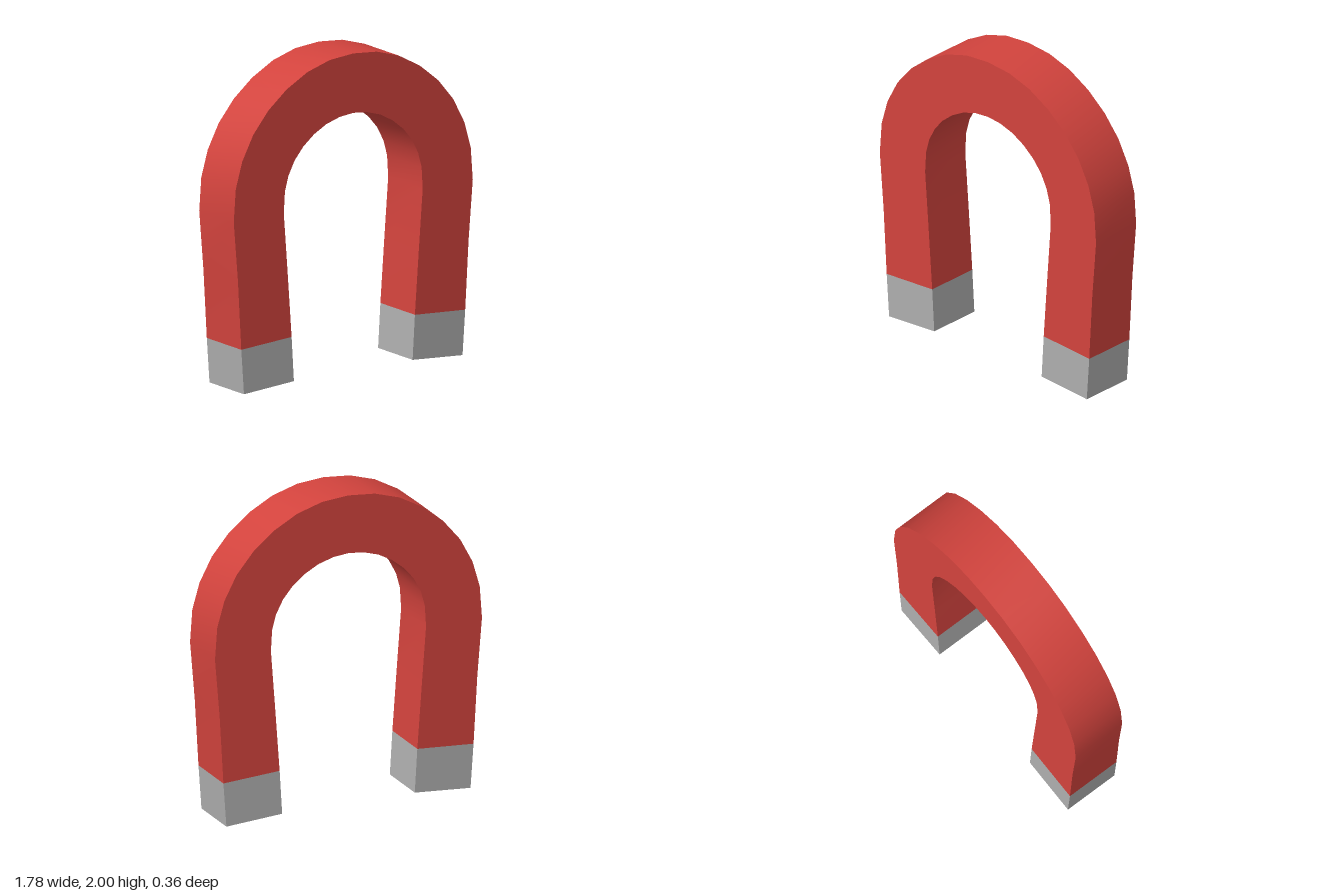
import * as THREE from 'three';
import { toCreasedNormals } from 'three/addons/utils/BufferGeometryUtils.js';

const DEPTH = 0.356;

// Right half of the bow, from the crown down to the pole joint
const OUTER = [[0, 2], [0.175, 1.985], [0.34, 1.935], [0.495, 1.85], [0.63, 1.74], [0.743, 1.605],
  [0.825, 1.45], [0.873, 1.285], [0.888, 1.08], [0.857, 0.71], [0.832, 0.28]];
const INNER = [[0, 1.63], [0.1, 1.62], [0.2, 1.59], [0.292, 1.54], [0.372, 1.475], [0.435, 1.4],
  [0.482, 1.31], [0.508, 1.215], [0.516, 1.08], [0.487, 0.7], [0.458, 0.304]];
// Pole cap, continuing the tilt of the leg
const POLE = [[0.458, 0.304], [0.832, 0.28], [0.812, 0], [0.441, 0.026]];

const mirror = (points) => points.map(([x, y]) => [-x, y]);

// Flat outline extruded through z, smooth around the bend and sharp at the rims
function slab(name, points, material) {
  const shape = new THREE.Shape(points.map(([x, y]) => new THREE.Vector2(x, y)));
  const geometry = new THREE.ExtrudeGeometry(shape, { depth: DEPTH, bevelEnabled: false });
  geometry.translate(0, 0, -DEPTH / 2);
  const mesh = new THREE.Mesh(toCreasedNormals(geometry, 0.6), material);
  mesh.name = name;
  return mesh;
}

export function createModel() {
  const red = new THREE.MeshStandardMaterial({ name: 'red paint', color: 0xd2433d });
  const grey = new THREE.MeshStandardMaterial({ name: 'bare steel', color: 0xaeaeae });

  // Closed horseshoe outline: outer edge left to right, inner edge back again
  const outline = [
    ...mirror(OUTER).reverse(), ...OUTER.slice(1),
    ...[...INNER].reverse(), ...mirror(INNER).slice(1),
  ];

  const magnet = new THREE.Group();
  magnet.name = 'horseshoeMagnet';
  magnet.add(
    slab('bow', outline, red),
    slab('leftPole', POLE, grey),
    slab('rightPole', mirror(POLE), grey),
  );
  return magnet;
}
